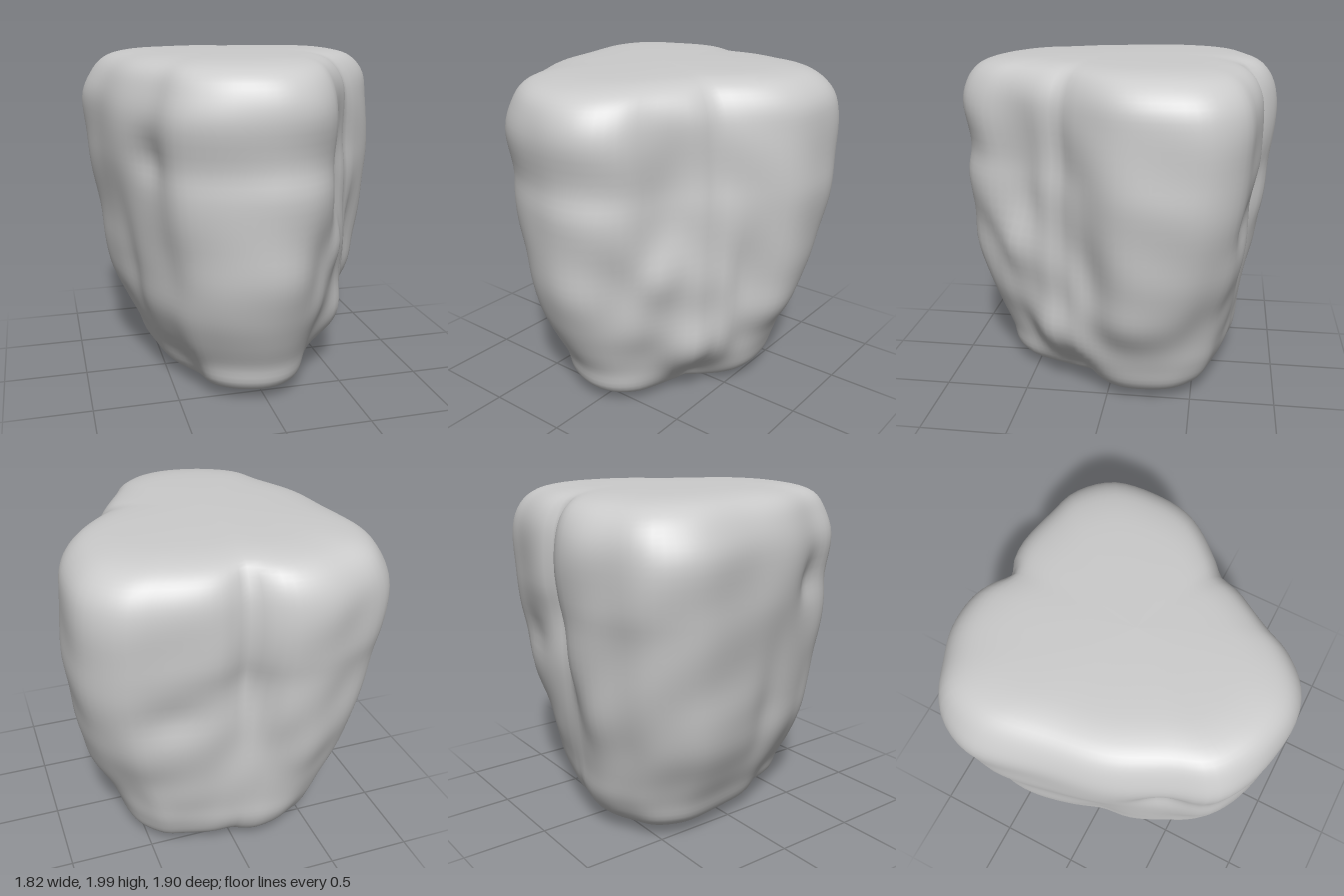
import * as THREE from 'three';

// Widest plan outline [x, z], from the back round by +x to the front and -x
const OUTLINE = [
  [-0.2, -0.95], [-0.06, -0.89], [0.02, -0.85], [0.25, -0.86], [0.5, -0.82], [0.69, -0.77],
  [0.86, -0.59], [0.9, -0.3], [0.87, -0.1], [0.79, 0.04], [0.66, 0.18], [0.58, 0.25],
  [0.55, 0.36], [0.48, 0.5], [0.4, 0.64], [0.33, 0.77], [0.18, 0.9], [0, 0.95],
  [-0.22, 0.92], [-0.4, 0.85], [-0.55, 0.74], [-0.64, 0.53], [-0.78, 0.22], [-0.85, -0.1],
  [-0.91, -0.5], [-0.85, -0.69], [-0.76, -0.8], [-0.58, -0.88], [-0.38, -0.95],
];

// Levels: height, then reach towards +x, -x, +z, -z
const LEVELS = [
  [0.01, 0, 0, 0, 0],
  [0.01, 0.28, 0.28, 0.34, 0.34],
  [0.05, 0.48, 0.46, 0.55, 0.56],
  [0.12, 0.58, 0.57, 0.66, 0.67],
  [0.25, 0.64, 0.63, 0.69, 0.74],
  [0.4, 0.7, 0.71, 0.76, 0.77],
  [0.58, 0.8, 0.79, 0.84, 0.81],
  [0.78, 0.84, 0.82, 0.9, 0.86],
  [1.0, 0.87, 0.84, 0.91, 0.89],
  [1.26, 0.9, 0.88, 0.93, 0.91],
  [1.45, 0.9, 0.9, 0.91, 0.94],
  [1.68, 0.89, 0.91, 0.95, 0.95],
  [1.83, 0.86, 0.86, 0.92, 0.92],
  [1.93, 0.77, 0.78, 0.84, 0.84],
  [1.975, 0.64, 0.65, 0.69, 0.7],
  [1.992, 0.42, 0.42, 0.45, 0.45],
  [2.0, 0, 0, 0, 0],
];

// Dents and bulges: x, y, z, width, height, push outwards
const FEATURES = [
  [0.02, 1.6, -0.8, 0.07, 0.35, -0.07],    // cleft between the back lobes
  [-0.06, 1.15, -0.82, 0.1, 0.25, -0.05],  // its lower end, bending towards -x
  [-0.18, 0.8, -0.8, 0.12, 0.22, -0.05],
  [0.02, 0.4, -0.68, 0.13, 0.45, 0.06],    // lobes joining below the cleft
  [0.75, 0.5, -0.6, 0.27, 0.4, -0.08],     // back corners cut away low down
  [-0.75, 0.4, -0.65, 0.28, 0.4, -0.06],
  [0.45, 1.35, 0.52, 0.17, 0.38, -0.06],   // hollow beside the front
  [0.42, 0.92, 0.55, 0.12, 0.17, 0.05],    // knob below the hollow
  [0.28, 0.8, 0.78, 0.15, 0.25, -0.05],
  [0.58, 0.8, 0.28, 0.13, 0.35, 0.04],     // upright ridge on the +x side
  [0.47, 0.38, 0.26, 0.19, 0.2, 0.12],     // heavy foot of the ridge
  [0.7, 0.85, 0.04, 0.13, 0.4, -0.06],     // groove behind the ridge
  [0.42, 0.1, 0.25, 0.2, 0.1, -0.07],      // undercut below the ridge
  [-0.72, 0.7, 0.12, 0.14, 0.45, -0.035],  // shallow groove on the -x side
  [-0.65, 1.45, 0.5, 0.14, 0.13, -0.04],
  [-0.5, 0.75, 0.65, 0.15, 0.28, -0.03],
  [-0.48, 0.12, 0.42, 0.17, 0.12, -0.05],  // undercut at the -x front corner
  [0.45, 1.1, -0.8, 0.2, 0.12, -0.03],
];

function createStone() {
  const around = 100, steps = 4;
  const curve = new THREE.CatmullRomCurve3(
    OUTLINE.map(([x, z]) => new THREE.Vector3(x, 0, z)), true);
  const outline = curve.getSpacedPoints(around).slice(0, around);
  const levels = new THREE.CubicInterpolant(LEVELS.map((_, i) => i), LEVELS.flat(), 5);
  const rings = (LEVELS.length - 1) * steps;
  const positions = [], index = [];

  for (let i = 0; i <= rings; i++) {
    const [y, right, left, front, back] = levels.evaluate(i / steps);
    for (const p of outline) {
      let x = p.x * Math.max(0, p.x > 0 ? right / 0.9 : left / 0.91);
      let z = p.z * Math.max(0, p.z > 0 ? front / 0.95 : back / 0.95);
      // gentle weathering plus the placed dents and bulges
      let push = 0.008 * Math.sin(7 * x + 5 * y) * Math.sin(6 * z - 8 * y) * Math.min(1, 2 * Math.hypot(x, z));
      for (const [fx, fy, fz, w, h, amount] of FEATURES) {
        const d = ((x - fx) ** 2 + (z - fz) ** 2) / (w * w) + ((y - fy) / h) ** 2;
        push += amount * Math.exp(-d);
      }
      const length = p.length();
      x += push * p.x / length;
      z += push * p.z / length;
      positions.push(x, THREE.MathUtils.clamp(y, 0, 2), z);
    }
  }
  // the first and last rings are poles, so they take one triangle per side
  for (let i = 0; i < rings; i++) {
    for (let j = 0; j < around; j++) {
      const k = (j + 1) % around;
      const a = i * around + j, b = i * around + k, c = a + around, d = b + around;
      if (i > 0) index.push(a, c, b);
      if (i < rings - 1) index.push(b, c, d);
    }
  }
  const geometry = new THREE.BufferGeometry();
  geometry.setAttribute('position', new THREE.Float32BufferAttribute(positions, 3));
  geometry.setIndex(index);
  geometry.computeVertexNormals();
  return geometry;
}

export function createModel() {
  const group = new THREE.Group();
  group.name = 'rock';
  const stone = new THREE.Mesh(createStone(), new THREE.MeshStandardMaterial({ color: 0xcccccc }));
  stone.name = 'boulder';
  group.add(stone);
  return group;
}
